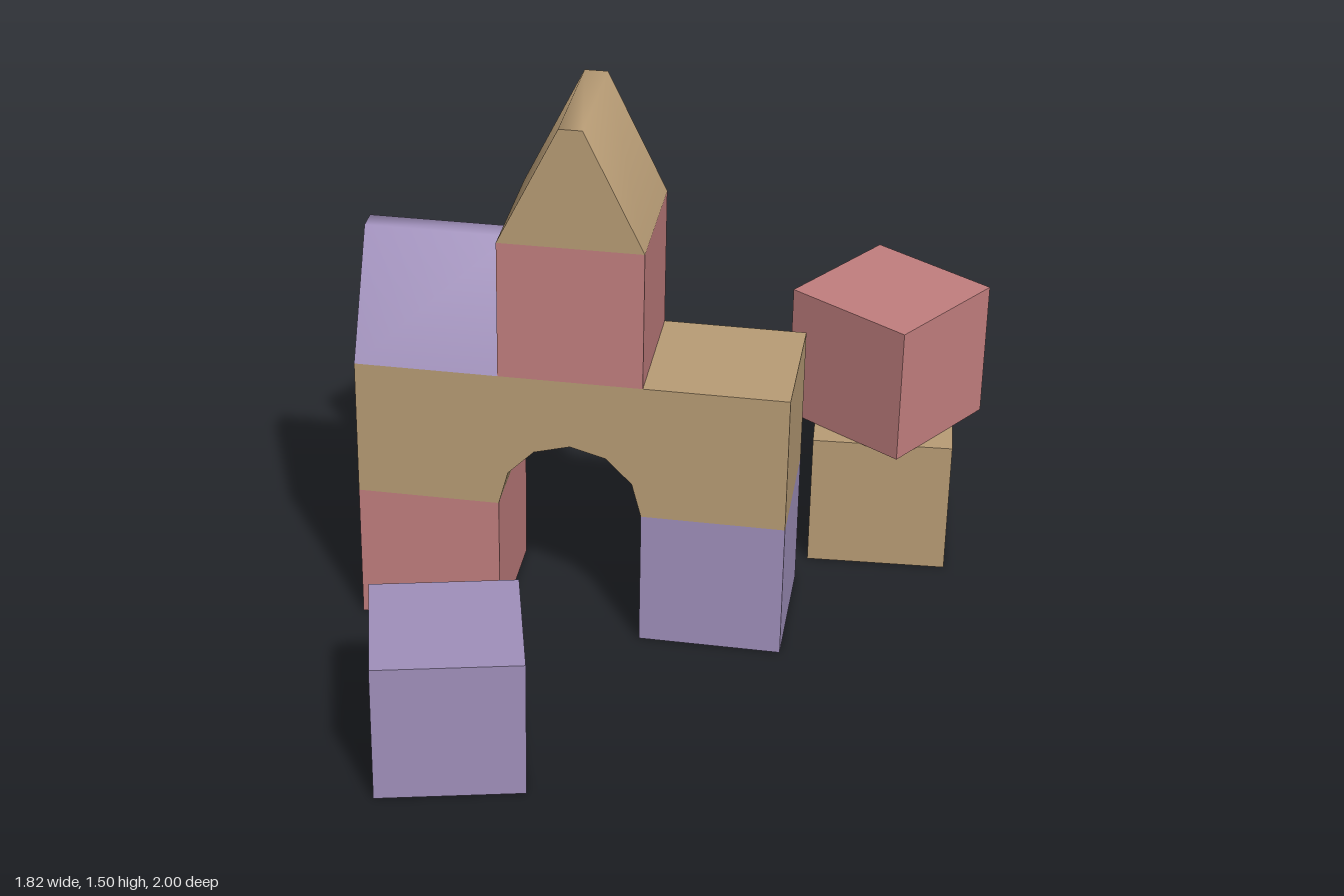
import * as THREE from 'three';
import { toCreasedNormals } from 'three/addons/utils/BufferGeometryUtils.js';

const W = 0.386; // block footprint
const H = 0.39; // block height
const rad = THREE.MathUtils.degToRad;

function paint(name, color) {
  const m = new THREE.MeshStandardMaterial({ color });
  m.name = name;
  return m;
}

// Extrude an outline to one block depth, centred on z, smooth below 75 degrees
function prism(points) {
  const shape = new THREE.Shape(points.map(([x, y]) => new THREE.Vector2(x, y)));
  const geo = new THREE.ExtrudeGeometry(shape, { depth: W, bevelEnabled: false });
  geo.translate(0, 0, -W / 2);
  return toCreasedNormals(geo, rad(75));
}

export function createModel() {
  const model = new THREE.Group();
  model.name = 'toyBlocks';
  const red = paint('red', 0xc27f7f);
  const purple = paint('purple', 0xa090bb);
  const tan = paint('tan', 0xb99d76);

  const cubeGeo = new THREE.BoxGeometry(W, H, W).translate(0, H / 2, 0);
  function add(parent, name, geo, mat, x, y, z, turn = 0) {
    const mesh = new THREE.Mesh(geo, mat);
    mesh.name = name;
    mesh.position.set(x, y, z);
    mesh.rotation.y = rad(turn);
    parent.add(mesh);
  }

  // Castle: two pillars, arch, tower and two roofs
  const castle = new THREE.Group();
  castle.name = 'castle';
  castle.position.set(0.03, 0, -0.075);
  castle.rotation.y = rad(15);
  model.add(castle);

  add(castle, 'leftPillar', cubeGeo, purple, W, 0, 0);
  add(castle, 'rightPillar', cubeGeo, red, -W, 0, 0);

  // Bridge with a six-sided half-round opening
  const outline = [[1.5 * W, 0], [1.5 * W, H], [-1.5 * W, H], [-1.5 * W, 0]];
  for (let i = 0; i <= 6; i++) {
    const a = Math.PI * (1 - i / 6);
    outline.push([Math.cos(a) * W / 2, Math.sin(a) * 0.195]);
  }
  add(castle, 'archBridge', prism(outline), tan, 0, H, 0);
  add(castle, 'tower', cubeGeo, red, 0, 2 * H, 0);

  // Roof blocks with a narrow flat ridge
  const roofGeo = prism([[-W / 2, 0], [W / 2, 0], [0.031, 0.33], [-0.031, 0.33]]);
  add(castle, 'towerRoof', roofGeo, tan, 0, 3 * H, 0);
  add(castle, 'sideRoof', roofGeo, purple, -W, 2 * H, 0, 90);

  // Loose cubes
  add(model, 'frontCube', cubeGeo, purple, 0.03, 0, 0.737, 28.5);
  add(model, 'backRightCube', cubeGeo, red, -0.675, 0, -0.65, -15);
  add(model, 'stackBottomCube', cubeGeo, tan, 0.66, 0, -0.756, 18.3);
  add(model, 'stackTopCube', cubeGeo, red, 0.66, H, -0.756, -18.3);

  return model;
}
